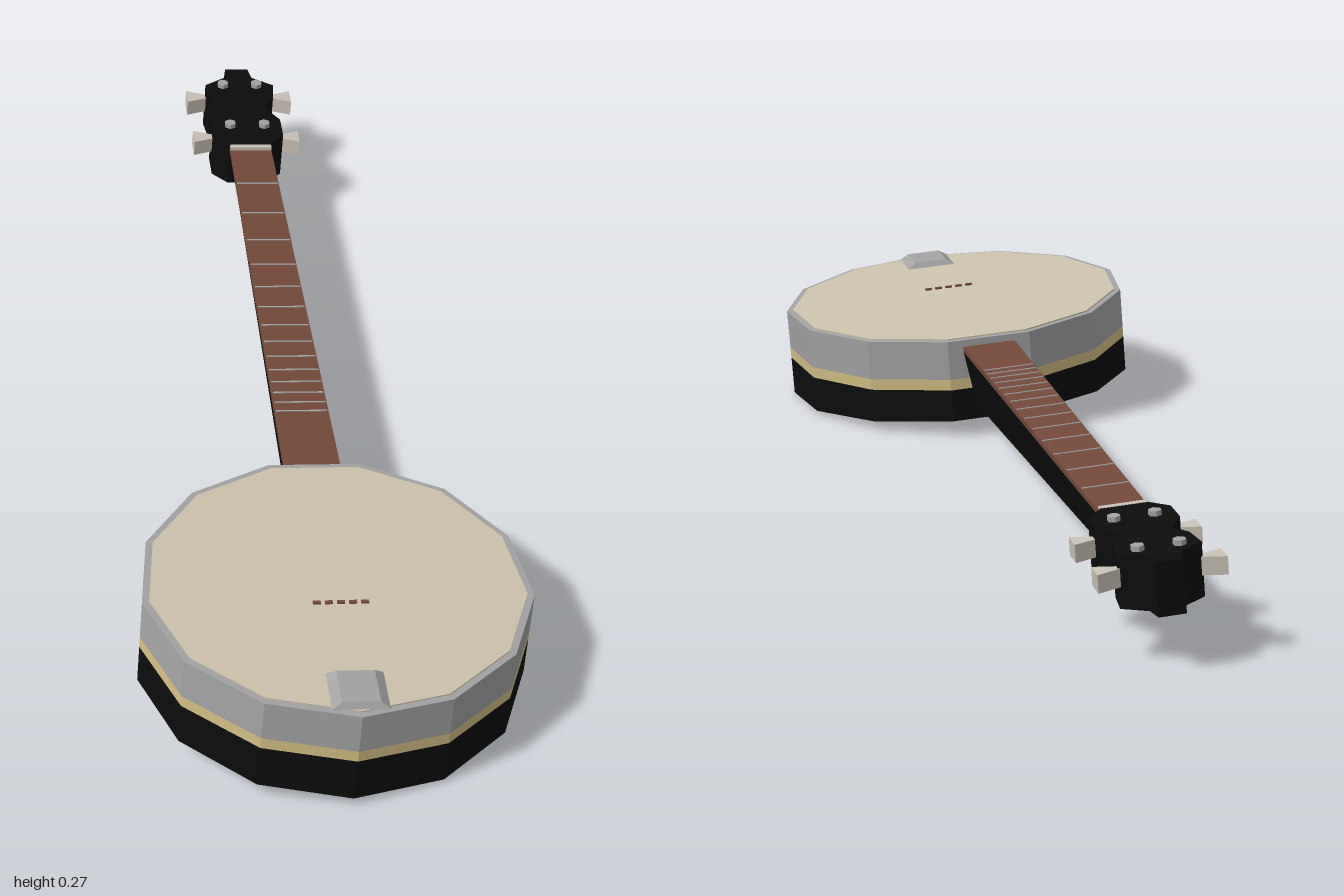
import * as THREE from 'three';

const mat = (name, color) => {
  const m = new THREE.MeshStandardMaterial({ color, flatShading: true });
  m.name = name;
  return m;
};

// Applies a rule to every vertex
function reshape(geo, rule) {
  const p = geo.attributes.position;
  const v = new THREE.Vector3();
  for (let i = 0; i < p.count; i++) {
    rule(v.fromBufferAttribute(p, i));
    p.setXYZ(i, v.x, v.y, v.z);
  }
  geo.computeVertexNormals();
  return geo;
}

export function createModel() {
  const black = mat('black lacquer', 0x0c0c0c);
  const grey = mat('metal grey', 0xa3a3a3);
  const gold = mat('pale gold', 0xd2bd82);
  const skinCream = mat('drum skin cream', 0xcdc3ad);
  const brown = mat('fretboard brown', 0x74493a);
  const ivory = mat('peg ivory', 0xc9c1b6);

  // Local frame: neck runs along -z from the drum centre, y = 0 at the fretboard
  const banjo = new THREE.Group();
  banjo.name = 'banjo';
  banjo.position.set(0.475, 0.22, 0.59);
  banjo.rotation.set(0, 0.689, -0.074);

  const add = (name, geo, material, x = 0, y = 0, z = 0) => {
    const m = new THREE.Mesh(geo, material);
    m.name = name;
    m.position.set(x, y, z);
    banjo.add(m);
    return m;
  };

  // Drum: stacked 13-sided bands
  const R = 0.41, SIDES = 13;
  const band = (name, top, bottom, r, material) =>
    add(name, new THREE.CylinderGeometry(r, r, top - bottom, SIDES), material, 0, (top + bottom) / 2, 0);
  band('drumRim', 0.02, -0.072, R, grey);
  band('goldBand', -0.072, -0.098, R, gold);
  band('drumSkin', 0.023, 0.01, R - 0.015, skinCream);
  // Back bowl, slightly shallower toward the neck
  const bowl = new THREE.CylinderGeometry(R, R, 0.088, SIDES);
  reshape(bowl, v => { if (v.y < 0) v.y -= v.z * 0.03; });
  add('drumBack', bowl, black, 0, -0.142, 0);

  // Tailpiece on the skin at the far end
  const tail = reshape(new THREE.BoxGeometry(0.12, 0.014, 0.11), v => {
    if (v.y > 0) { v.x *= 0.65; v.z *= 0.85; }
  });
  add('tailpiece', tail, grey, 0, 0.029, 0.335);

  // Bridge: a low row of little feet
  for (let i = -2; i <= 2; i++) {
    add('bridgeFoot', new THREE.BoxGeometry(0.016, 0.004, 0.008), brown, i * 0.025, 0.025, 0.065);
  }

  // Neck: tapered, narrower underneath
  const S0 = 0.38, S1 = 1.7, mid = -(S0 + S1) / 2;
  const half = s => 0.062 - 0.012 * (s - S0) / (S1 - S0);
  const neck = reshape(new THREE.BoxGeometry(2, 2, S1 - S0), v => {
    const s = v.z > 0 ? S0 : S1;
    v.x *= half(s) * (v.y < 0 ? 0.65 : 1);
    v.y = v.y > 0 ? -0.008 : (s === S0 ? -0.14 : -0.09);
  });
  add('neck', neck, black, 0, 0, mid);
  const board = reshape(new THREE.BoxGeometry(2, 0.012, S1 - S0), v => {
    v.x *= half(v.z > 0 ? S0 : S1);
  });
  add('fretboard', board, brown, 0, -0.002, mid);

  // Frets get closer together toward the drum
  for (let i = 1; i <= 14; i++) {
    const s = 0.35 + 1.31 * Math.pow(2, -i / 6);
    if (s < 0.43) continue;
    add('fret', new THREE.BoxGeometry(half(s) * 1.9, 0.002, 0.004), grey, 0, 0.0045, -s);
  }
  add('nut', new THREE.BoxGeometry(0.1, 0.01, 0.014), ivory, 0, 0.008, -1.67);

  // Headstock: two lobes with a pinched waist
  const side = [[0.05, 1.68], [0.085, 1.72], [0.085, 1.79], [0.052, 1.845],
    [0.078, 1.885], [0.085, 1.95], [0.035, 1.985], [0.028, 2.025]];
  const outline = [...side, ...side.slice().reverse().map(([x, s]) => [-x, s])];
  const head = new THREE.ExtrudeGeometry(
    new THREE.Shape(outline.map(([x, s]) => new THREE.Vector2(x, s))),
    { depth: 0.113, bevelEnabled: false });
  head.rotateX(-Math.PI / 2);
  add('headstock', head, black, 0, -0.1, 0);

  // Tuning pegs: flared square keys and posts on the face
  for (const s of [1.76, 1.945]) {
    for (const sx of [-1, 1]) {
      const key = reshape(new THREE.BoxGeometry(0.05, 0.038, 0.05), v => {
        if (v.x * sx < 0) v.z *= 0.3;
      });
      add('pegKey', key, ivory, sx * 0.105, -0.036, -s);
      add('pegPost', new THREE.CylinderGeometry(0.014, 0.014, 0.014, 6), grey, sx * 0.042, 0.017, -s);
    }
  }

  const model = new THREE.Group();
  model.name = 'model';
  model.add(banjo);
  return model;
}
